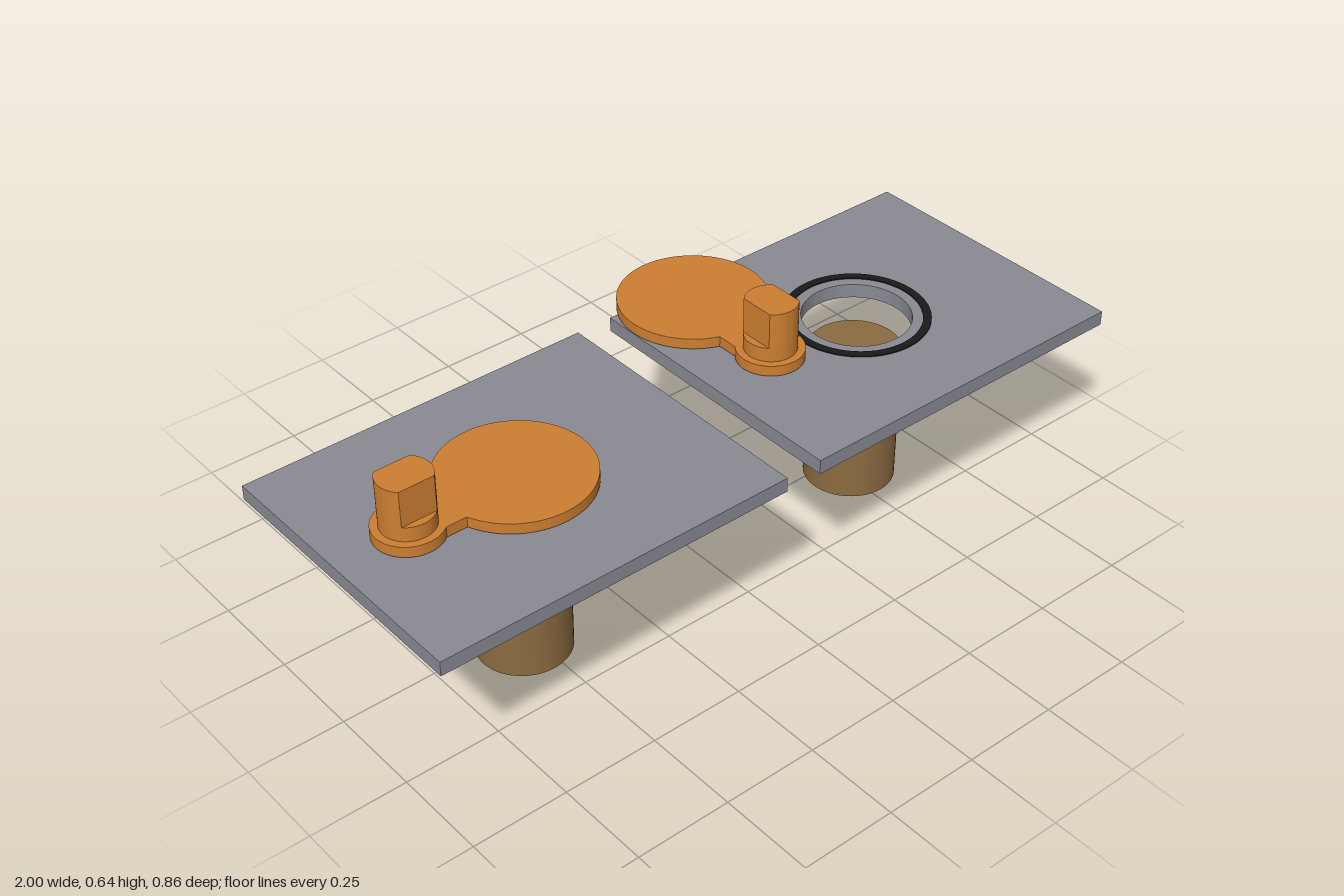
import * as THREE from 'three';
import { toCreasedNormals } from 'three/addons/utils/BufferGeometryUtils.js';

const material = (name, color) => {
  const m = new THREE.MeshStandardMaterial({ color });
  m.name = name;
  return m;
};

const CENTRE_Z = 0.047;
const REACH = 0.287; // pivot to cover centre

function addMesh(parent, name, geometry, mat, x = 0, y = 0, z = 0) {
  const mesh = new THREE.Mesh(geometry, mat);
  mesh.name = name;
  mesh.position.set(x, y, z);
  parent.add(mesh);
  return mesh;
}

// Extrudes a plan shape upward from y = 0
function slab(shape, height) {
  const g = new THREE.ExtrudeGeometry(shape, { depth: height, bevelEnabled: false, curveSegments: 48 });
  g.rotateX(-Math.PI / 2);
  return toCreasedNormals(g, 0.5);
}

// Square plate with a round hole
function plateShape() {
  const w = 0.475, d = 0.381;
  const s = new THREE.Shape();
  s.moveTo(-w, -d).lineTo(w, -d).lineTo(w, d).lineTo(-w, d).closePath();
  s.holes.push(new THREE.Path().absarc(0, 0, 0.138, 0, Math.PI * 2, true));
  return s;
}

function ringShape(inner, outer) {
  const s = new THREE.Shape().absarc(0, 0, outer, 0, Math.PI * 2, false);
  s.holes.push(new THREE.Path().absarc(0, 0, inner, 0, Math.PI * 2, true));
  return s;
}

// Keyhole outline: pivot hub, neck and round cover
function coverShape() {
  const hub = 0.085, neck = 0.066, disc = 0.19;
  const a = Math.asin(neck / hub), b = Math.asin(neck / disc);
  const s = new THREE.Shape();
  s.absarc(0, 0, hub, a, Math.PI * 2 - a, false);
  s.absarc(REACH, 0, disc, Math.PI + b, Math.PI * 3 - b, false);
  s.closePath();
  return s;
}

// Round knob section with two flats
function flattedShape(r, flat) {
  const a = Math.asin(flat / r);
  const s = new THREE.Shape();
  s.absarc(0, 0, r, -a, a, false);
  s.absarc(0, 0, r, Math.PI - a, Math.PI + a, false);
  s.closePath();
  return s;
}

export function createModel() {
  const root = new THREE.Group();
  root.name = 'swingCoverPair';
  const bronze = material('bronze', 0xcd7f32);
  const steel = material('grey steel', 0x8a8a94);
  const brown = material('brown', 0x8b6b40);
  const black = material('black rubber', 0x1a1a1a);

  const plateGeo = slab(plateShape(), 0.038);
  const gasketGeo = slab(ringShape(0.164, 0.185), 0.008);
  const coverGeo = slab(coverShape(), 0.028);
  const knobBaseGeo = new THREE.CylinderGeometry(0.066, 0.066, 0.039, 48);
  const knobGripGeo = slab(flattedShape(0.066, 0.047), 0.095);
  const pinGeo = new THREE.CylinderGeometry(0.028, 0.028, 0.044, 32);
  const plugGeo = new THREE.CylinderGeometry(0.118, 0.118, 0.383, 64);

  // Closed station on the right, open station on the left
  const stations = [
    { name: 'closedStation', x: -0.525, turn: 0 },
    { name: 'openStation', x: 0.525, turn: Math.PI / 2 },
  ];
  for (const { name, x, turn } of stations) {
    const station = new THREE.Group();
    station.name = name;
    station.position.set(x, 0, CENTRE_Z);
    root.add(station);

    addMesh(station, 'plug', plugGeo, brown, 0, 0.1915, 0);
    addMesh(station, 'plate', plateGeo, steel, 0, 0.439, 0);
    addMesh(station, 'gasket', gasketGeo, black, 0, 0.472, 0);

    // Swinging cover about its pivot
    const lever = new THREE.Group();
    lever.name = 'swingCover';
    lever.position.x = -REACH;
    lever.rotation.y = turn;
    station.add(lever);
    addMesh(lever, 'cover', coverGeo, bronze, 0, 0.481, 0);
    addMesh(lever, 'knobBase', knobBaseGeo, bronze, 0, 0.5275, 0);
    addMesh(lever, 'knobGrip', knobGripGeo, bronze, 0, 0.547, 0);
    addMesh(lever, 'pivotPin', pinGeo, black, 0, 0.4605, 0);
  }
  return root;
}
